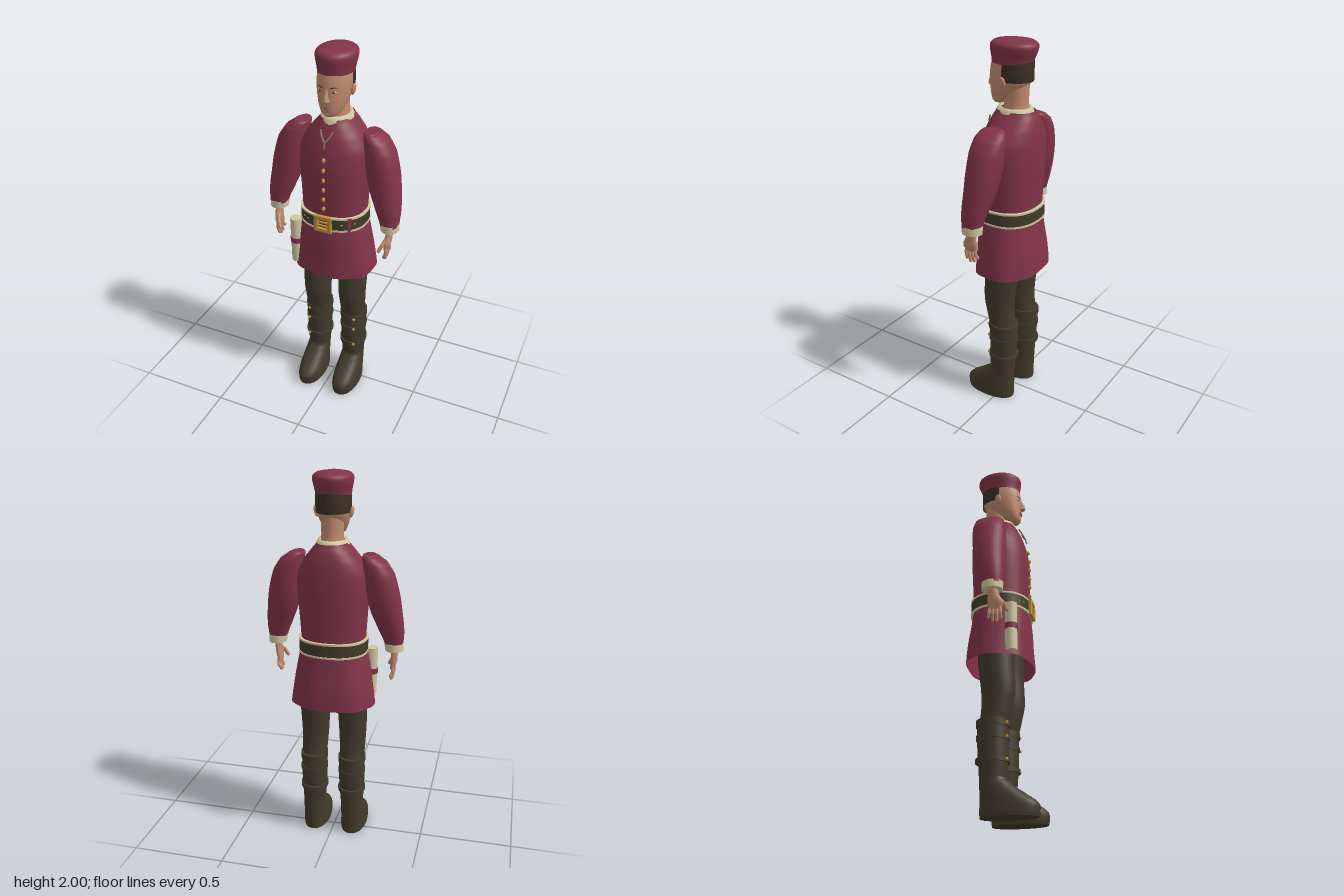
import * as THREE from 'three';

const mat = (name, color, side = THREE.FrontSide) =>
  Object.assign(new THREE.MeshStandardMaterial({ color, side }), { name });

// Point on a rounded cross-section [y, cx, cz, rx, rz, fold]; angle 0 faces front, PI/2 faces +x
function ringPoint([y, cx, cz, rx, rz, fold = 0], t, e) {
  const p = v => Math.sign(v) * Math.abs(v) ** (2 / e);
  const k = 1 + fold * Math.sin(7 * t + 0.6);
  return [cx + rx * k * p(Math.sin(t)), y, cz + rz * k * p(Math.cos(t))];
}

// Smooth skin through cross-sections listed from bottom to top
function loft(rows, { e = 2, seg = 32, sub = 4, caps = true, from = 0, to = 2 * Math.PI, smooth = true } = {}) {
  const full = rows.map(r => [...r, 0].slice(0, 6));
  const rings = [];
  for (let i = 0; i < full.length - 1; i++) {
    const [a, b, c, d] = [-1, 0, 1, 2].map(k => full[Math.min(full.length - 1, Math.max(0, i + k))]);
    const n = smooth ? sub : 1;
    for (let s = 0; s < n; s++) {
      const u = s / n;
      rings.push(b.map((v, k) => k === 0 ? v + (c[0] - v) * u :
        v + 0.5 * u * (c[k] - a[k] + u * (2 * a[k] - 5 * v + 4 * c[k] - d[k] + u * (3 * (v - c[k]) + d[k] - a[k])))));
    }
  }
  rings.push(full[full.length - 1]);
  const closed = to - from > 6.28, cols = closed ? seg : seg + 1;
  const pos = [], idx = [];
  const addRing = r => {
    for (let j = 0; j < cols; j++) pos.push(...ringPoint(r, from + (to - from) * j / seg, e));
  };
  rings.forEach(addRing);
  for (let i = 0; i < rings.length - 1; i++) for (let j = 0; j < seg; j++) {
    const a = i * cols + j, b = i * cols + (j + 1) % cols;
    idx.push(a, b, a + cols, b, b + cols, a + cols);
  }
  if (caps) [rings[0], rings[rings.length - 1]].forEach((r, top) => {
    const base = pos.length / 3;
    addRing(r);
    pos.push(r[1], r[0], r[2]);
    for (let j = 0; j < seg; j++) {
      const a = base + j, b = base + (j + 1) % cols;
      idx.push(...(top ? [a, b, base + cols] : [b, a, base + cols]));
    }
  });
  const g = new THREE.BufferGeometry();
  g.setAttribute('position', new THREE.Float32BufferAttribute(pos, 3));
  g.setIndex(idx);
  g.computeVertexNormals();
  return g;
}

export function createModel() {
  const model = new THREE.Group();
  model.name = 'uniformedMan';
  const red = mat('redCloth', 0x823449, THREE.DoubleSide);
  const olive = mat('darkOlive', 0x413b2b);
  const cream = mat('creamCloth', 0xd3c6a3, THREE.DoubleSide);
  const skin = mat('skin', 0xc08c70);
  const lip = mat('lips', 0x9a5f50);
  const gold = mat('gold', 0xc0903a);
  const hair = mat('darkHair', 0x3b3024, THREE.DoubleSide);
  const white = mat('eyeWhite', 0xd8d0c4);
  const chainMat = mat('agedMetal', 0x8c7a5c);

  const add = (name, geometry, material, parent = model) => {
    const m = new THREE.Mesh(geometry, material);
    m.name = name;
    parent.add(m);
    return m;
  };
  const ball = (name, material, p, s, parent) => {
    const m = add(name, new THREE.SphereGeometry(1, 14, 10), material, parent);
    m.position.set(...p);
    m.scale.set(...s);
    return m;
  };
  const tube = (name, material, pts, r, parent) => add(name, new THREE.TubeGeometry(
    new THREE.CatmullRomCurve3(pts.map(p => new THREE.Vector3(...p))), 10, r, 8), material, parent);

  // Tunic with a flared, lightly folded skirt
  add('tunic', loft([
    [0.79, 0, -0.015, 0.222, 0.172, 0.02], [0.9, 0, -0.015, 0.208, 0.166, 0.012], [1.0, 0, -0.01, 0.192, 0.158, 0.006],
    [1.12, 0, -0.01, 0.17, 0.148], [1.25, 0, -0.012, 0.174, 0.151], [1.4, 0, -0.015, 0.184, 0.155],
    [1.5, 0, -0.022, 0.18, 0.148], [1.57, 0, -0.03, 0.145, 0.135], [1.62, 0, -0.035, 0.105, 0.118],
    [1.655, 0, -0.035, 0.078, 0.1]], { e: 2.3, seg: 56, caps: false }), red);
  add('collar', loft([[1.63, 0, -0.03, 0.09, 0.106], [1.65, 0, -0.03, 0.082, 0.1], [1.672, 0, -0.03, 0.074, 0.088],
    [1.665, 0, -0.03, 0.06, 0.07]], { smooth: false, caps: false }), cream);

  // Belt with pale piping, studs and open buckle
  const beltRow = y => [y, 0, -0.011, 0.179, 0.159];
  const beltOpt = { e: 2.3, seg: 56, smooth: false };
  add('belt', loft([beltRow(1.085), beltRow(1.15)], beltOpt), olive);
  for (const y of [1.077, 1.148])
    add('beltPiping', loft([y, y + 0.01].map(v => [v, 0, -0.011, 0.182, 0.162]), beltOpt), cream);
  for (const t of [-0.95, -0.7, -0.5, 0.5, 0.95])
    ball('beltStud', gold, ringPoint(beltRow(1.118), t, 2.3), [0.005, 0.005, 0.005]);
  add('beltLoop', loft([1.076, 1.16].map(v => [v, 0, -0.011, 0.186, 0.166]),
    { ...beltOpt, caps: false, from: 0.68, to: 0.8, seg: 3 }), red);
  const frame = new THREE.Shape([[-0.045, -0.044], [0.045, -0.044], [0.045, 0.044], [-0.045, 0.044]]
    .map(p => new THREE.Vector2(...p)));
  frame.holes.push(new THREE.Path([[-0.03, -0.028], [-0.03, 0.028], [0.03, 0.028], [0.03, -0.028]]
    .map(p => new THREE.Vector2(...p))));
  add('buckle', new THREE.ExtrudeGeometry(frame, { depth: 0.012, bevelSize: 0.003, bevelThickness: 0.003, bevelSegments: 1 }), gold)
    .position.set(0, 1.117, 0.148);
  for (const y of [1.107, 1.127])
    add('buckleProng', new THREE.BoxGeometry(0.066, 0.008, 0.01), gold).position.set(0, y, 0.155);

  // Front buttons
  for (let i = 0; i < 6; i++)
    ball('button', gold, [0, 1.2 + i * 0.054, i < 5 ? 0.142 : 0.136], [0.009, 0.013, 0.012]);

  // Neck chain with small pendant
  for (const s of [-1, 1])
    tube('neckChain', chainMat, [[s * 0.034, 1.615, 0.095], [s * 0.02, 1.585, 0.112], [0, 1.558, 0.126]], 0.004);
  tube('pendant', chainMat, [[0, 1.565, 0.124], [0, 1.53, 0.132]], 0.004);

  // Scroll hanging at the right hip
  const scroll = new THREE.Group();
  scroll.name = 'scroll';
  add('scrollRoll', new THREE.CylinderGeometry(0.031, 0.031, 0.26, 20), cream, scroll);
  add('scrollBand', new THREE.CylinderGeometry(0.034, 0.034, 0.03, 20), red, scroll);
  scroll.position.set(-0.186, 0.94, 0.085);
  scroll.rotation.z = 0.02;
  model.add(scroll);

  // Neck, head and nose
  const headRows = [[1.68, 0, 0.062, 0.026, 0.024], [1.695, 0, 0.045, 0.047, 0.05], [1.735, 0, 0.02, 0.067, 0.08],
    [1.79, 0, -0.003, 0.081, 0.105], [1.85, 0, -0.01, 0.085, 0.11], [1.92, 0, -0.015, 0.08, 0.1]];
  add('neck', loft([[1.62, 0, -0.04, 0.064, 0.07], [1.69, 0, -0.037, 0.056, 0.064], [1.8, 0, -0.035, 0.06, 0.07]]), skin);
  const head = new THREE.Group();
  head.name = 'head';
  model.add(head);
  add('face', loft(headRows, { e: 2.15, seg: 40 }), skin, head);
  add('nose', loft([[1.752, 0, 0.092, 0.012, 0.008], [1.763, 0, 0.098, 0.018, 0.025], [1.78, 0, 0.1, 0.012, 0.024],
    [1.825, 0, 0.093, 0.008, 0.012]], { seg: 16 }), skin, head);
  ball('upperLip', lip, [0, 1.736, 0.098], [0.024, 0.004, 0.007], head);
  ball('lowerLip', lip, [0, 1.728, 0.095], [0.019, 0.005, 0.008], head);
  ball('chin', skin, [0, 1.697, 0.08], [0.024, 0.016, 0.017], head);
  for (const s of [-1, 1]) {
    ball('eye', white, [s * 0.034, 1.811, 0.089], [0.014, 0.006, 0.006], head);
    ball('iris', hair, [s * 0.034, 1.811, 0.0935], [0.006, 0.006, 0.003], head);
    tube('eyebrow', hair, [[s * 0.018, 1.828, 0.099], [s * 0.036, 1.834, 0.091], [s * 0.054, 1.828, 0.076]], 0.003, head);
    ball('ear', skin, [s * 0.09, 1.8, -0.012], [0.011, 0.03, 0.018], head).rotation.z = -s * 0.2;
  }
  // Cropped hair around the back, and the round cap
  add('hair', loft([[1.8, 0, -0.015, 0.086, 0.11], [1.84, 0, -0.014, 0.09, 0.112], [1.91, 0, -0.018, 0.088, 0.108]],
    { caps: false, from: 1.5, to: 2 * Math.PI - 1.5 }), hair, head);
  add('cap', loft([[1.885, 0, -0.016, 0.089, 0.108], [1.91, 0, -0.018, 0.092, 0.112], [1.95, 0, -0.023, 0.1, 0.123],
    [1.975, 0, -0.025, 0.099, 0.122], [1.991, 0, -0.025, 0.08, 0.1], [2.0, 0, -0.025, 0.03, 0.04]], { seg: 40 }), red, head);

  for (const s of [-1, 1]) {
    const label = s > 0 ? 'left' : 'right';
    // Full sleeve, cuff and hand
    const arm = new THREE.Group();
    arm.name = label + 'Arm';
    model.add(arm);
    add('sleeve', loft([
      [1.12, s * 0.314, 0.022, 0.048, 0.052], [1.2, s * 0.3, 0.012, 0.065, 0.066], [1.3, s * 0.275, -0.004, 0.08, 0.08],
      [1.4, s * 0.255, -0.014, 0.085, 0.088], [1.5, s * 0.236, -0.02, 0.076, 0.088], [1.56, s * 0.213, -0.023, 0.06, 0.08],
      [1.588, s * 0.192, -0.024, 0.042, 0.066], [1.597, s * 0.185, -0.024, 0.03, 0.054]], { e: 2.2 }), red, arm);
    add('cuff', loft([[1.09, s * 0.316, 0.02, 0.047, 0.054], [1.132, s * 0.313, 0.021, 0.05, 0.056]], { smooth: false }), cream, arm);
    add('palm', loft([[0.985, s * 0.308, 0.034, 0.012, 0.036], [1.02, s * 0.313, 0.036, 0.017, 0.04],
      [1.06, s * 0.316, 0.028, 0.018, 0.03], [1.1, s * 0.316, 0.022, 0.021, 0.026]], { seg: 16 }), skin, arm);
    [[0.062, 0.94], [0.042, 0.926], [0.02, 0.93], [-0.002, 0.95]].forEach(([z, tip], i) => {
      const z0 = 0.062 - i * 0.018;
      tube('finger', skin, [[s * 0.309, 1.0, z0], [s * 0.312, 0.965, (z + z0) / 2], [s * 0.304, tip, z]], 0.0085, arm);
      ball('fingertip', skin, [s * 0.304, tip, z], [0.0085, 0.01, 0.0085], arm);
    });
    tube('thumb', skin, [[s * 0.31, 1.05, 0.045], [s * 0.298, 1.02, 0.075], [s * 0.284, 0.99, 0.088]], 0.01, arm);
    ball('thumbTip', skin, [s * 0.284, 0.99, 0.088], [0.01, 0.011, 0.01], arm);

    // Trouser leg, boot shaft, straps, studs and shoe
    const leg = new THREE.Group();
    leg.name = label + 'Leg';
    model.add(leg);
    add('trouserLeg', loft([
      [0.3, s * 0.106, -0.026, 0.066, 0.072], [0.45, s * 0.106, -0.025, 0.067, 0.073], [0.52, s * 0.105, -0.012, 0.069, 0.076],
      [0.62, s * 0.104, -0.002, 0.074, 0.086], [0.78, s * 0.102, -0.014, 0.08, 0.094], [0.95, s * 0.09, -0.014, 0.084, 0.1]]), olive, leg);
    const shaft = [[0.12, s * 0.108, -0.026, 0.06, 0.064], [0.2, s * 0.107, -0.026, 0.063, 0.068],
      [0.28, s * 0.106, -0.026, 0.069, 0.074], [0.38, s * 0.106, -0.028, 0.07, 0.078], [0.47, s * 0.106, -0.028, 0.07, 0.078]];
    add('bootShaft', loft(shaft), olive, leg);
    for (const [y, h, g] of [[0.262, 0.022, 0.005], [0.375, 0.02, 0.004], [0.44, 0.035, 0.004]])
      add('bootStrap', loft([y, y + h].map(v => [v, s * 0.106, -0.028, 0.07 + g, 0.08 + g]), { smooth: false }), olive, leg);
    for (const y of [0.273, 0.385, 0.455])
      ball('bootStud', gold, ringPoint([y, s * 0.106, -0.028, 0.075, 0.085], s * 0.42, 2), [0.009, 0.009, 0.008], leg);
    add('shoe', loft([[0, s * 0.108, 0.055, 0.07, 0.142], [0.02, s * 0.108, 0.056, 0.072, 0.145],
      [0.065, s * 0.108, 0.053, 0.071, 0.142], [0.12, s * 0.108, 0.016, 0.067, 0.105],
      [0.165, s * 0.108, -0.012, 0.061, 0.075], [0.187, s * 0.108, -0.02, 0.057, 0.062]], { e: 2.2 }), olive, leg);
  }
  return model;
}
